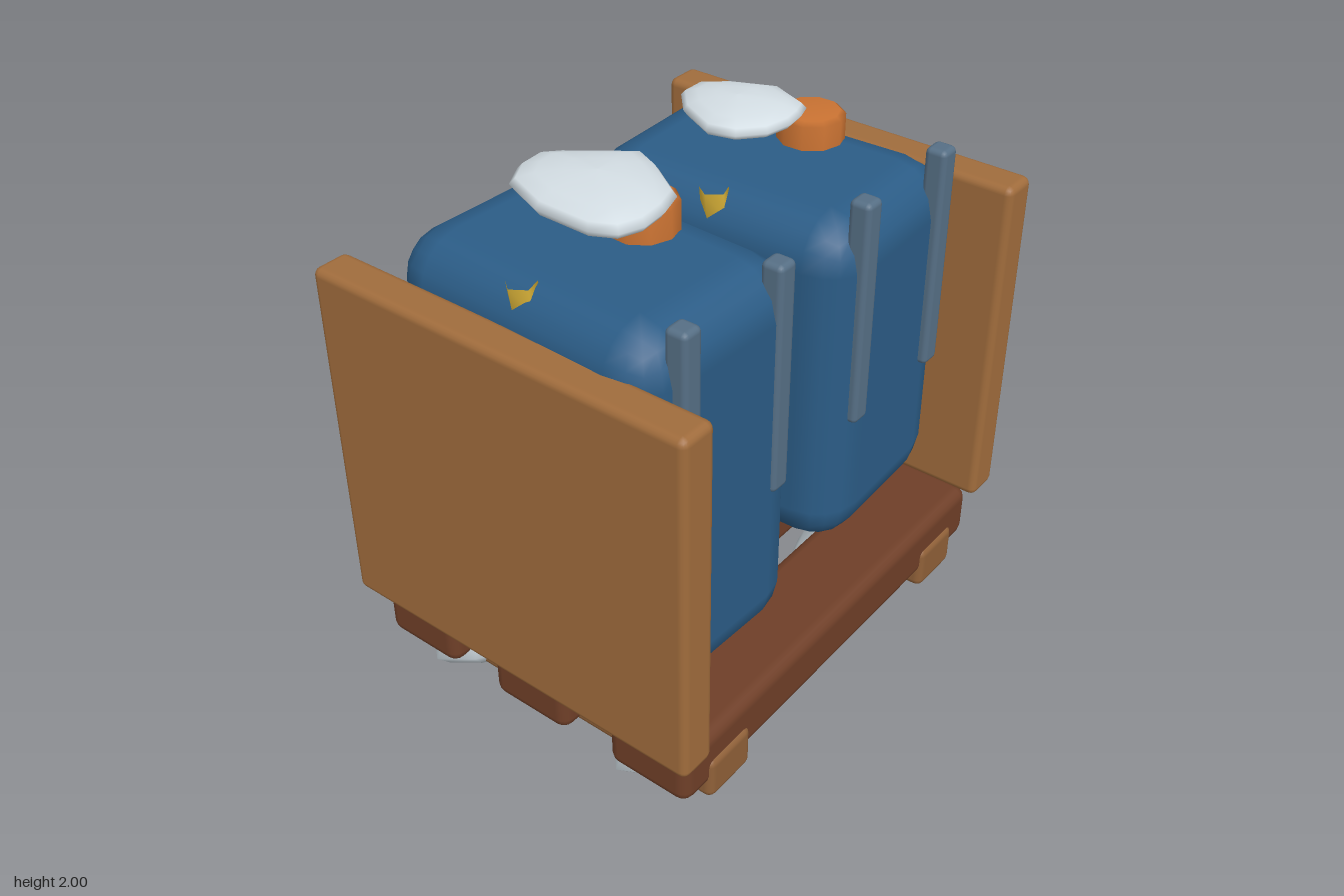
import * as THREE from 'three';
import { RoundedBoxGeometry } from 'three/addons/geometries/RoundedBoxGeometry.js';

const mat = (color) => new THREE.MeshStandardMaterial({ color });
const M = {
  wood: mat(0xa06c3c), darkWood: mat(0x6f3f28), runner: mat(0x8f6038), tank: mat(0x2b5c86),
  steel: mat(0x566f85), plate: mat(0x26394a), yellow: mat(0xd8b138), orange: mat(0xc97232),
  label: mat(0xb3a585), snow: mat(0xd3dde3), stone: mat(0xbcc6cc),
};

function add(parent, name, geometry, material, x = 0, y = 0, z = 0) {
  const mesh = new THREE.Mesh(geometry, material);
  mesh.name = name;
  mesh.position.set(x, y, z);
  parent.add(mesh);
  return mesh;
}

const rbox = (w, h, d, r, s = 2) => new RoundedBoxGeometry(w, h, d, s, r);

// Flattened lump: an outline (clockwise from above) shrunk towards a top and bottom pole
function lump(outline, halfUp, halfDown, levels) {
  const n = outline.length, pos = [], index = [];
  for (let j = 0; j <= levels; j++) {
    const a = (j / levels - 0.5) * Math.PI;
    const s = Math.max(Math.cos(a), 0), y = Math.sin(a) * (a > 0 ? halfUp : halfDown);
    for (const [x, z] of outline) pos.push(x * s, y, z * s);
  }
  for (let j = 0; j < levels; j++) {
    for (let i = 0; i < n; i++) {
      const k = (i + 1) % n;
      const a = j * n + i, b = j * n + k, c = b + n, d = a + n;
      if (j > 0) index.push(b, a, d);
      if (j === 0) index.push(a, d, c);
      else if (j < levels - 1) index.push(b, d, c);
    }
  }
  const g = new THREE.BufferGeometry();
  g.setAttribute('position', new THREE.Float32BufferAttribute(pos, 3));
  g.setIndex(index);
  g.computeVertexNormals();
  return g;
}

const SNOW_LEFT = [[-0.06, -0.26], [0.03, -0.265], [0.08, -0.22], [0.23, -0.02], [0.19, 0.07], [0.09, 0.22],
  [0, 0.25], [-0.1, 0.26], [-0.18, 0.23], [-0.22, 0.15], [-0.215, -0.05], [-0.15, -0.21]];
const SNOW_RIGHT = [[-0.03, -0.21], [0.06, -0.21], [0.13, -0.13], [0.2, 0.03], [0.14, 0.18], [0.08, 0.2],
  [0.01, 0.21], [-0.09, 0.19], [-0.17, 0.12], [-0.195, 0.02], [-0.12, -0.13]];
const STONE = [[-0.14, -0.98], [0.4, -0.85], [0.8, -0.4], [1, 0.08], [0.72, 0.7], [0.2, 1],
  [-0.35, 0.88], [-0.82, 0.55], [-1, -0.1], [-0.65, -0.72]];

// One canister with its handle, filler cap, straps and rear plate
function canister(name, o) {
  const g = new THREE.Group();
  g.name = name;
  g.position.set(o.x, 0, 0);
  g.rotation.y = o.turn;
  const h = o.top - o.bottom;
  add(g, 'tank', rbox(o.w, h, 1.07, 0.17, 2), M.tank, 0, (o.top + o.bottom) / 2, 0);

  // Curved handle sunk into the top
  const handle = add(g, 'handle', new THREE.TorusGeometry(o.handle, 0.05, 5, 12, Math.PI), M.yellow, 0, o.top - 0.005, 0);
  handle.rotation.z = Math.PI;

  // Filler cap with a softened rim
  const cap = [[0, 0.1], [0.098, 0.1], [0.117, 0.085], [0.117, -0.06]].reverse()
    .map(([x, y]) => new THREE.Vector2(x, y));
  add(g, 'fillerCap', new THREE.LatheGeometry(cap, 10), M.orange, o.capX, o.capTop - 0.1, 0.055);

  // Rear plate, strip and tag
  add(g, 'rearPlate', rbox(0.52, 0.76, 0.06, 0.012), M.plate, 0, o.plateY, -0.555);
  add(g, 'rearStrip', rbox(0.15, 0.55, 0.06, 0.012), M.steel, 0, 1.13, -0.585);
  add(g, 'tag', new THREE.BoxGeometry(0.31, 0.24, 0.03), M.label, 0, o.tagY, -0.625);
  add(g, 'tagInset', new THREE.BoxGeometry(0.16, 0.1, 0.02), M.orange, 0, o.tagY, -0.638);
  return g;
}

export function createModel() {
  const root = new THREE.Group();
  root.name = 'canisterCrate';

  // Pallet: three cross beams over two runners
  for (const z of [-0.505, 0, 0.505]) {
    add(root, 'palletBeam', rbox(1.73, 0.215, 0.325, 0.045), M.darkWood, -0.005, 0.227, z);
  }
  for (const x of [-0.645, 0.635]) {
    add(root, 'palletRunner', rbox(0.22, 0.17, 1.36, 0.03), M.runner, x, 0.142, 0);
  }

  // Side boards
  for (const s of [-1, 1]) {
    add(root, 'sideBoard', rbox(0.14, 1.29, 1.44, 0.028), M.wood, s * 0.87, 0.985, 0);
  }

  // Canisters
  root.add(canister('tallCanister', {
    x: -0.455, w: 0.745, bottom: 0.36, top: 1.76, turn: -0.045,
    handle: 0.303, capX: 0.155, capTop: 1.87, plateY: 1.12, tagY: 0.92,
  }));
  root.add(canister('shortCanister', {
    x: 0.43, w: 0.74, bottom: 0.415, top: 1.7, turn: 0.04,
    handle: 0.315, capX: 0.175, capTop: 1.8, plateY: 1.09, tagY: 0.95,
  }));

  // Upright front bars
  for (const x of [-0.688, -0.243, 0.218, 0.663]) {
    add(root, 'frontBar', rbox(0.08, 0.825, 0.08, 0.02), M.steel, x, 1.373, 0.518);
  }

  // Crossed rods at the back
  const angle = Math.atan2(0.78, 1.6);
  for (const s of [-1, 1]) {
    const rod = add(root, 'crossRod', new THREE.CylinderGeometry(0.037, 0.037, 1.78, 8), M.yellow, 0, 1.03, -0.597);
    rod.rotation.z = Math.PI / 2 + s * angle;
  }

  // Snow lumps above the canisters
  add(root, 'snowLump', lump(SNOW_LEFT, 0.055, 0.065, 8), M.snow, -0.45, 1.945, 0.02);
  add(root, 'snowLump', lump(SNOW_RIGHT, 0.05, 0.05, 8), M.snow, 0.373, 1.85, -0.09);

  // Stones under the pallet: [x, z, half width, half depth, half turn]
  const stones = [[-0.46, 0.41, 0.42, 0.22, 1], [0.5, 0.42, 0.38, 0.22, -1], [0, 0, 0.36, 0.24, 1],
    [-0.48, -0.41, 0.4, 0.22, -1], [0.46, -0.41, 0.41, 0.22, 1]];
  for (const [x, z, w, d, s] of stones) {
    const outline = STONE.map(([u, v]) => [u * w * s, v * d * s]);
    add(root, 'stone', lump(outline, 0.15, 0.115, 6), M.stone, x, 0.118, z);
  }
  return root;
}
